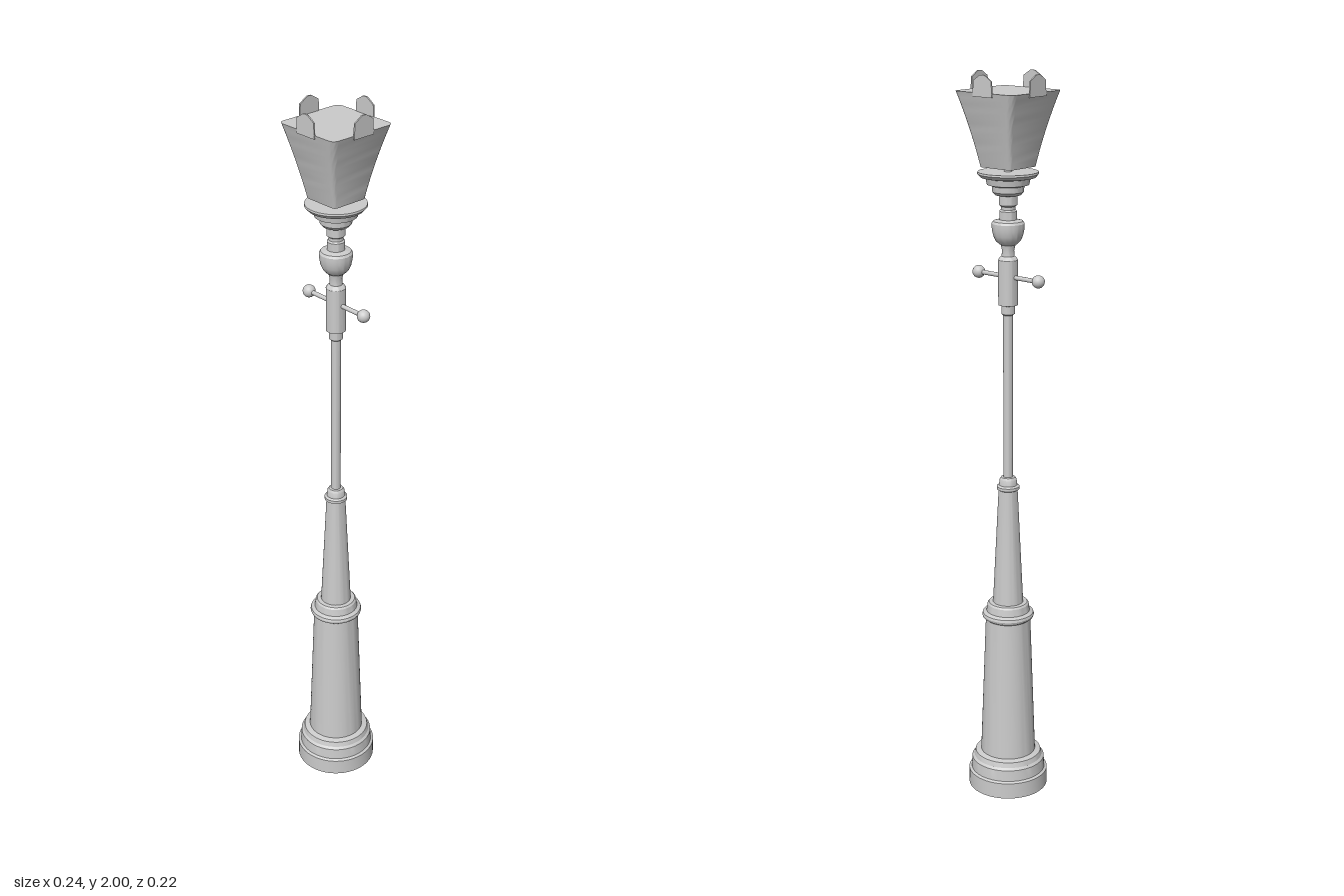
import * as THREE from 'three';
import { toCreasedNormals } from 'three/addons/utils/BufferGeometryUtils.js';

const grey = new THREE.MeshStandardMaterial({ color: 0xcccccc, side: THREE.DoubleSide });

function add(group, name, geometry) {
  const mesh = new THREE.Mesh(geometry, grey);
  mesh.name = name;
  group.add(mesh);
  return mesh;
}

// Turned part from [radius, height] pairs, bottom to top
function turned(group, name, profile) {
  const points = profile.map(([r, y]) => new THREE.Vector2(r, y));
  return add(group, name, toCreasedNormals(new THREE.LatheGeometry(points, 48), 0.5));
}

// Rounded rectangle outline in the xz plane
function roundedRing(hx, hz, r, steps = 6) {
  const ring = [];
  const corners = [[1, 1], [-1, 1], [-1, -1], [1, -1]];
  corners.forEach(([sx, sz], q) => {
    for (let i = 0; i <= steps; i++) {
      const a = (q + i / steps) * Math.PI / 2;
      ring.push([sx * (hx - r) + r * Math.cos(a), sz * (hz - r) + r * Math.sin(a)]);
    }
  });
  return ring;
}

// Closed flared body: straight taper in z, concave flare in x
function lanternGeometry() {
  const y0 = 1.762, y1 = 1.955, levels = 12;
  const positions = [], index = [];
  let n = 0;
  for (let i = 0; i <= levels; i++) {
    const t = i / levels;
    const hz = 0.053 + 0.046 * t;
    const hx = hz - 0.02 * t * (1 - t);
    const ring = roundedRing(hx, hz, 0.01 + 0.007 * t);
    n = ring.length;
    ring.forEach(([x, z]) => positions.push(x, y0 + (y1 - y0) * t, z));
  }
  for (let i = 0; i < levels; i++) {
    for (let j = 0; j < n; j++) {
      const a = i * n + j, b = i * n + (j + 1) % n;
      index.push(a, a + n, b, b, a + n, b + n);
    }
  }
  const bottom = positions.length / 3, top = bottom + 1, last = levels * n;
  positions.push(0, y0, 0, 0, y1, 0);
  for (let j = 0; j < n; j++) {
    const k = (j + 1) % n;
    index.push(bottom, j, k, top, last + k, last + j);
  }
  const g = new THREE.BufferGeometry();
  g.setAttribute('position', new THREE.Float32BufferAttribute(positions, 3));
  g.setIndex(index);
  return toCreasedNormals(g, 0.5);
}

export function createModel() {
  const lamp = new THREE.Group();
  lamp.name = 'streetLamp';

  // Stepped foot
  turned(lamp, 'foot', [
    [0, 0], [0.111, 0], [0.111, 0.046], [0.104, 0.05], [0.102, 0.082],
    [0.096, 0.088], [0.092, 0.102], [0.076, 0.106]
  ]);

  // Lower tapered column with its collar
  turned(lamp, 'lowerColumn', [[0.077, 0.1], [0.062, 0.51]]);
  turned(lamp, 'lowerCollar', [
    [0.062, 0.508], [0.07, 0.514], [0.072, 0.52], [0.07, 0.527],
    [0.06, 0.532], [0.057, 0.552], [0.053, 0.557], [0.04, 0.558]
  ]);

  // Upper tapered column with its collar
  turned(lamp, 'upperColumn', [[0.042, 0.555], [0.026, 0.885]]);
  turned(lamp, 'upperCollar', [
    [0.026, 0.885], [0.031, 0.888], [0.031, 0.896], [0.025, 0.9],
    [0.023, 0.916], [0.019, 0.922], [0.013, 0.923]
  ]);

  turned(lamp, 'pole', [[0.013, 0.92], [0.013, 1.4]]);

  // Sleeve carrying the ladder bar
  turned(lamp, 'sleeve', [
    [0.013, 1.372], [0.018, 1.376], [0.018, 1.398], [0.026, 1.4],
    [0.026, 1.52], [0.022, 1.526], [0.017, 1.53], [0.016, 1.545], [0.02, 1.562]
  ]);
  const bar = add(lamp, 'ladderBar', new THREE.CylinderGeometry(0.006, 0.006, 0.2, 16));
  bar.rotation.z = Math.PI / 2;
  bar.position.y = 1.475;
  for (const side of [1, -1]) {
    const ball = add(lamp, side > 0 ? 'leftBarBall' : 'rightBarBall', new THREE.SphereGeometry(0.017, 24, 16));
    ball.position.set(side * 0.103, 1.475, 0);
  }

  // Cup ornament and neck
  turned(lamp, 'cup', [
    [0.016, 1.558], [0.024, 1.562], [0.033, 1.571], [0.039, 1.584],
    [0.042, 1.598], [0.043, 1.608], [0.043, 1.616], [0.039, 1.622], [0.023, 1.626]
  ]);
  turned(lamp, 'neck', [
    [0.023, 1.624], [0.023, 1.648], [0.019, 1.652], [0.019, 1.66],
    [0.024, 1.664], [0.024, 1.69]
  ]);

  // Stepped saucer and the short stem under the lantern
  turned(lamp, 'saucer', [
    [0.023, 1.688], [0.034, 1.69], [0.041, 1.698], [0.042, 1.713],
    [0.055, 1.717], [0.058, 1.733], [0.072, 1.736], [0.08, 1.745],
    [0.079, 1.75], [0, 1.75]
  ]);
  turned(lamp, 'stem', [[0.01, 1.748], [0.01, 1.765]]);

  add(lamp, 'lantern', lanternGeometry());

  // Pointed crest in the middle of each rim side
  const crest = new THREE.Shape([
    [-0.032, 1.945], [0.032, 1.945], [0.03, 1.985], [0.008, 1.999],
    [0, 2], [-0.008, 1.999], [-0.03, 1.985]
  ].map(([x, y]) => new THREE.Vector2(x, y)));
  const crestGeometry = new THREE.ExtrudeGeometry(crest, { depth: 0.004, bevelEnabled: false });
  crestGeometry.translate(0, 0, 0.0955);
  ['front', 'left', 'back', 'right'].forEach((side, i) => {
    add(lamp, side + 'Crest', crestGeometry).rotation.y = i * Math.PI / 2;
  });

  return lamp;
}
